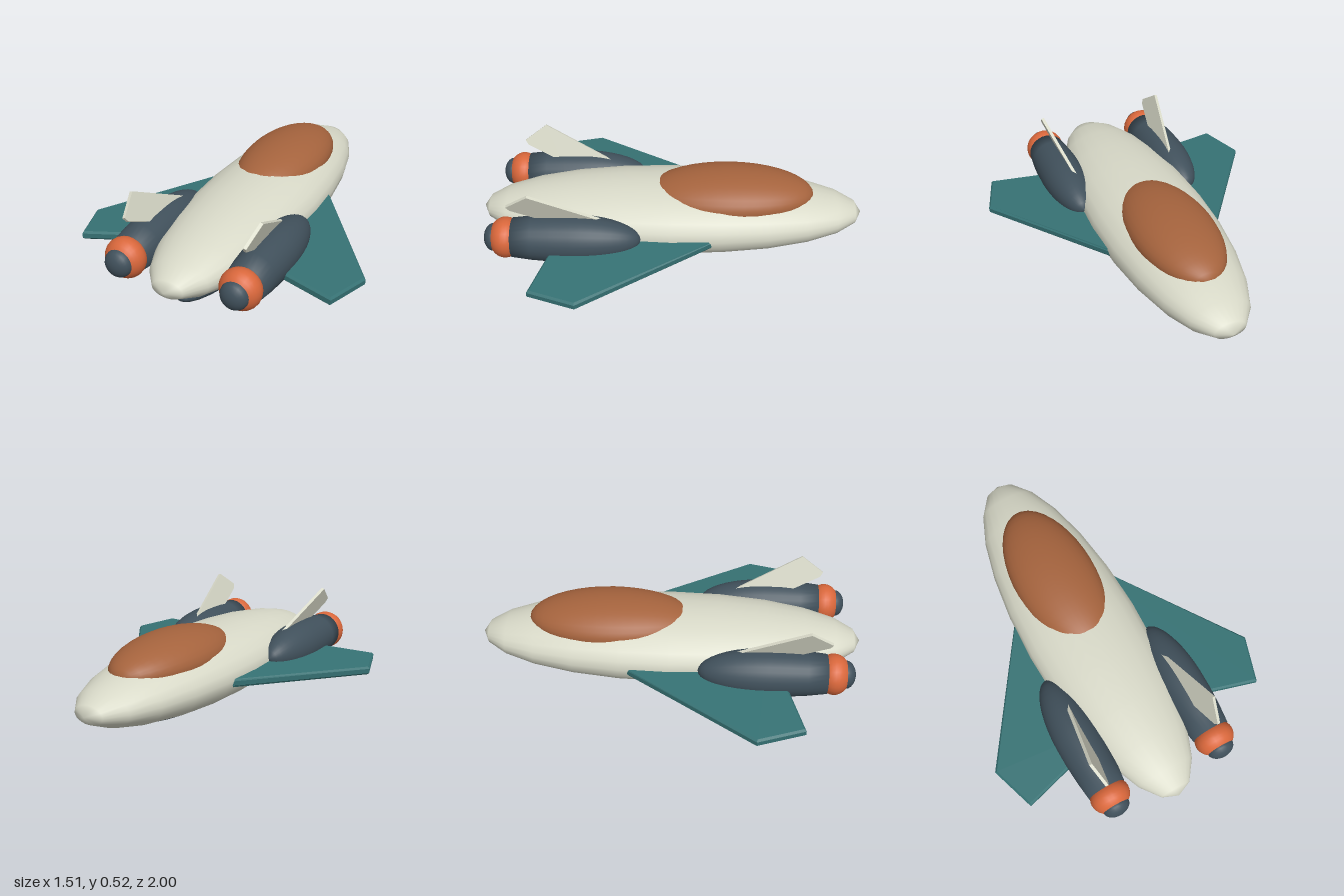
import * as THREE from 'three';

const mat = (name, color) => {
  const m = new THREE.MeshStandardMaterial({ color });
  m.name = name;
  return m;
};

export function createModel() {
  const cream = mat('cream hull', 0xd8d9c8);
  const copper = mat('copper canopy', 0xa5633d);
  const teal = mat('teal wing', 0x367274);
  const slate = mat('slate', 0x40505b);
  const orange = mat('orange', 0xd9673b);

  const ship = new THREE.Group();
  ship.name = 'spaceship';

  const add = (name, geo, material, parent = ship) => {
    const mesh = new THREE.Mesh(geo, material);
    mesh.name = name;
    parent.add(mesh);
    return mesh;
  };

  // Ellipsoid with its poles along z
  const ellipsoid = (r, c, seg = 32, rings = 20) =>
    new THREE.SphereGeometry(1, seg, rings).rotateX(Math.PI / 2).scale(...r).translate(...c);

  // Bevelled plate from an outline, centred on its own thickness
  const plate = (pts, thick, bevel) => {
    const shape = new THREE.Shape(pts.map(([x, y]) => new THREE.Vector2(x, y)));
    const depth = thick - 2 * bevel;
    return new THREE.ExtrudeGeometry(shape, {
      depth, bevelEnabled: bevel > 0, bevelThickness: bevel,
      bevelSize: bevel, bevelOffset: -bevel, bevelSegments: 1,
    }).translate(0, 0, -depth / 2);
  };

  // Hull, canopy and belly
  add('fuselage', ellipsoid([0.315, 0.18, 1], [0, 0.222, 0], 24, 12), cream);
  add('canopy', ellipsoid([0.22, 0.13, 0.438], [0, 0.33, -0.304]), copper);
  add('belly', ellipsoid([0.17, 0.105, 0.76], [0, 0.105, 0.1]), slate);

  // Engine pod profile: rounded nose, gentle taper to the back
  const podProfile = [];
  for (let i = 0; i <= 10; i++) {
    const a = (i / 10) * Math.PI / 2;
    podProfile.push(new THREE.Vector2(0.122 * Math.sin(a), 0.5 - 0.35 * Math.cos(a)));
  }
  for (const [r, z] of [[0.12, 0.6], [0.113, 0.7], [0.101, 0.8], [0, 0.8]]) {
    podProfile.push(new THREE.Vector2(r, z));
  }

  for (const s of [1, -1]) {
    const side = s > 0 ? 'left' : 'right';

    // Wing, drooping slightly towards the tip
    const outline = [[0.1, -0.5], [0.757, 0.44], [0.678, 0.678], [0.1, 0.522]];
    const wing = add(side + 'Wing',
      plate(outline.map(([x, z]) => [s * x, z]), 0.044, 0.01).rotateX(Math.PI / 2), teal);
    wing.rotation.z = -s * 0.075;
    wing.position.y = 0.23;

    // Engine with nozzle and exhaust
    const engine = new THREE.Group();
    engine.name = side + 'Engine';
    engine.position.set(s * 0.306, 0.24, 0);
    ship.add(engine);
    add('pod', new THREE.LatheGeometry(podProfile, 28).rotateX(Math.PI / 2), slate, engine);
    add('nozzle', ellipsoid([0.105, 0.105, 0.085], [0, 0, 0.835], 24, 16), orange, engine);
    add('exhaust', ellipsoid([0.072, 0.072, 0.05], [0, 0, 0.895], 24, 12), slate, engine);

    // Tail fin leaning outwards from the pod
    const fin = add(side + 'Fin', plate(
      [[0.34, -0.02], [0.7, 0.17], [0.815, 0.085], [0.8, 0.06], [0.62, -0.03]], 0.016, 0,
    ).rotateY(-Math.PI / 2), cream);
    fin.rotation.z = -s * 0.34;
    fin.position.set(s * 0.288, 0.358, 0);
  }
  return ship;
}
